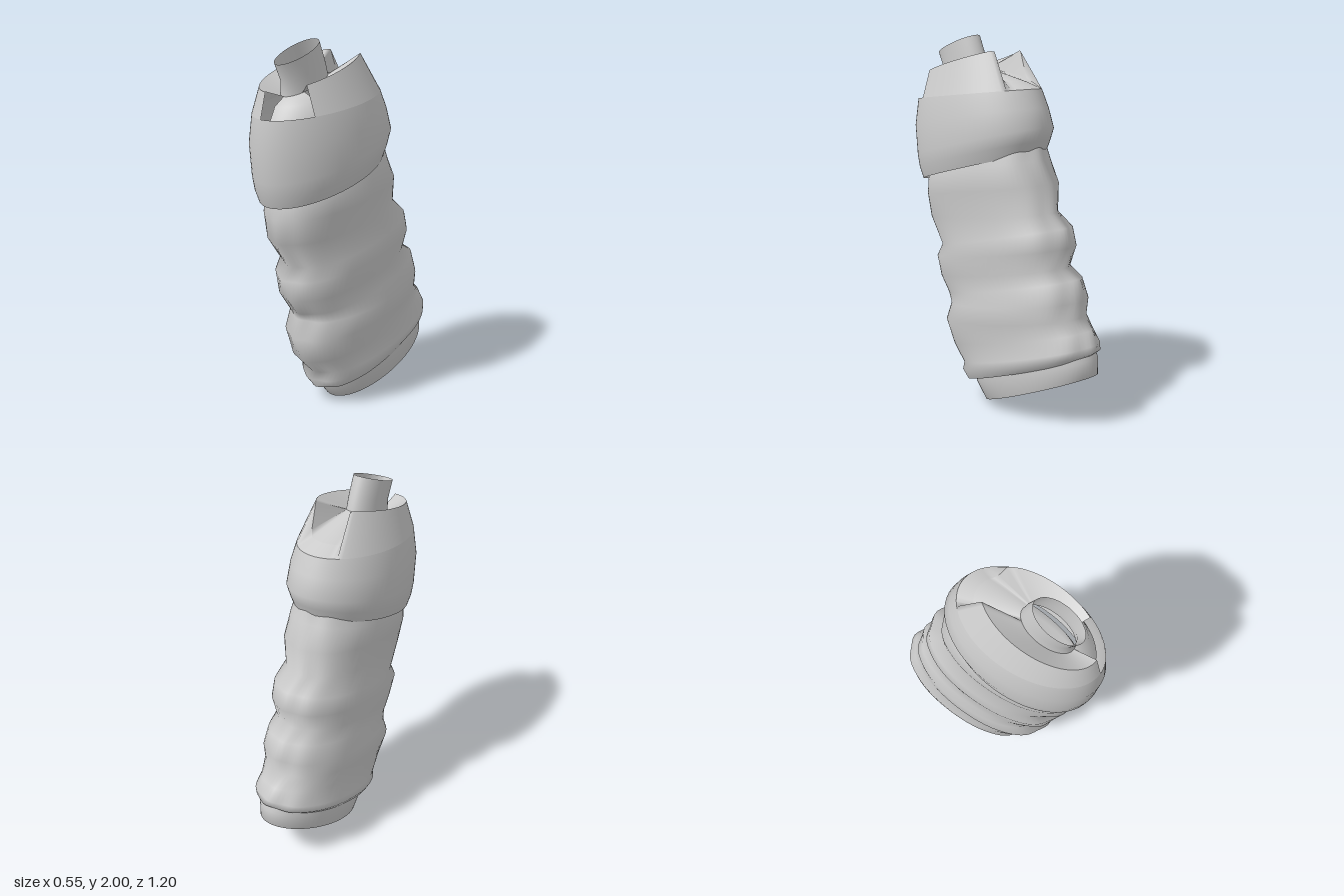
import * as THREE from 'three';

const N = 72;
const DEG = Math.PI / 180;
const material = new THREE.MeshStandardMaterial({ color: 0xcccccc, side: THREE.DoubleSide });

// Tilted oval: front point (zf, yf), back point (zb, yb), half width w. Angle 0 is front, 90 is +x.
function oval([zf, yf, zb, yb, w], a, swell = 1) {
  const c = Math.cos(a) * swell / 2;
  return [Math.sin(a) * w * swell, (yf + yb) / 2 + (yf - yb) * c, (zf + zb) / 2 + (zf - zb) * c];
}

const ring = (spec, swell) => Array.from({ length: N }, (_, j) => {
  const a = j / N * Math.PI * 2;
  return oval(spec, a, swell ? swell(a) : 1);
});

// Smooth skin through rings of points; from/to limit it to a sector of segments.
function loft(name, rings, from = 0, to = N) {
  const index = [];
  for (let i = 0; i < rings.length - 1; i++) {
    for (let s = from; s < to; s++) {
      const j = s % N, k = (s + 1) % N;
      const a = i * N + j, b = i * N + k, c = a + N, d = b + N;
      index.push(a, b, d, a, d, c);
    }
  }
  const geometry = new THREE.BufferGeometry();
  geometry.setAttribute('position', new THREE.Float32BufferAttribute(rings.flat(2), 3));
  geometry.setIndex(index);
  geometry.computeVertexNormals();
  const mesh = new THREE.Mesh(geometry, material);
  mesh.name = name;
  return mesh;
}

export function createModel() {
  const model = new THREE.Group();
  model.name = 'crumpledBottle';

  // Crumpled sleeve: [front z, front y, back z, back y, half width]
  const sleeveRings = [
    [0.22, 0.10, -0.56, 0.36, 0.215],
    [0.25, 0.15, -0.595, 0.39, 0.24],
    [0.24, 0.20, -0.595, 0.43, 0.243],
    [0.33, 0.29, -0.56, 0.50, 0.225],
    [0.37, 0.43, -0.50, 0.56, 0.25],
    [0.33, 0.53, -0.51, 0.65, 0.248],
    [0.36, 0.58, -0.48, 0.76, 0.23],
    [0.42, 0.67, -0.40, 0.81, 0.225],
    [0.44, 0.78, -0.43, 0.92, 0.245],
    [0.40, 0.85, -0.405, 1.02, 0.235],
    [0.50, 1.00, -0.32, 1.09, 0.215],
    [0.51, 1.13, -0.31, 1.24, 0.24],
    [0.50, 1.22, -0.25, 1.36, 0.235],
    [0.47, 1.33, -0.22, 1.47, 0.20],
  ];
  // Slightly squared section; shallow folds run down the front and back, the flanks stay smooth
  const sleeve = sleeveRings.map((spec, i) => ring(spec, a => {
    const fold = 0.016 * Math.cos(a) ** 4 * Math.cos(10 * a + 1.2 * Math.sin(i * 1.7));
    return 1 + 0.035 * Math.sin(2 * a) ** 2 + fold;
  }));
  model.add(loft('sleeve', sleeve));

  // Slanted base below the sleeve, with a softly rounded underside
  const foot = [0.10, 0, -0.60, 0.27, 0.2];
  model.add(loft('base', [
    ring(foot, () => 0.001),
    ring(foot, () => 0.9),
    ring(foot),
    ring([0.17, 0.09, -0.60, 0.36, 0.207]),
    ring([0.17, 0.16, -0.57, 0.42, 0.207]),
  ]));

  // Collar band around the top of the sleeve
  const shoulder = [0.585, 1.65, -0.20, 1.725, 0.245];
  model.add(loft('collarBand', [
    [0.55, 1.20, -0.225, 1.395, 0.25],
    [0.572, 1.26, -0.25, 1.46, 0.268],
    [0.585, 1.33, -0.275, 1.53, 0.277],
    [0.60, 1.50, -0.24, 1.63, 0.272],
    shoulder,
  ].map(spec => ring(spec))));

  // Upper rim: notched low at the back, peaks either side of the notch
  const high = [0.55, 1.78, -0.07, 1.935, 0.18];
  const low = [0.58, 1.66, -0.11, 1.76, 0.2];
  const rim = Array.from({ length: N }, (_, j) => {
    const a = j / N * 360;
    const t = THREE.MathUtils.smoothstep(Math.abs(a - 180), 28, 36);
    const p = oval(high, a * DEG), q = oval(low, a * DEG);
    return p.map((v, k) => q[k] + (v - q[k]) * t);
  });
  // The front left of the rim is cut away, leaving a gap there
  const cut = 11;
  model.add(loft('collarRim', [ring(shoulder), rim], cut, N));

  // Sloping channel from the rim down to the spout
  const spoutFoot = [0.43, 1.74, 0.14, 1.83, 0.083];
  model.add(loft('channel', [rim, ring(spoutFoot)], cut, N));

  // Recessed panel behind the cut, rising to the spout
  const panelLow = [0.54, 1.60, -0.10, 1.69, 0.215];
  const panelHigh = [0.49, 1.70, -0.02, 1.82, 0.185];
  model.add(loft('recessedPanel', [ring(panelLow), ring(panelHigh), ring(spoutFoot)], 0, cut + 1));

  // Open oval spout
  model.add(loft('spout', [
    ring(spoutFoot),
    ring([0.43, 1.81, 0.16, 1.90, 0.08]),
    ring([0.47, 1.90, 0.20, 2.00, 0.08]),
  ]));

  return model;
}
